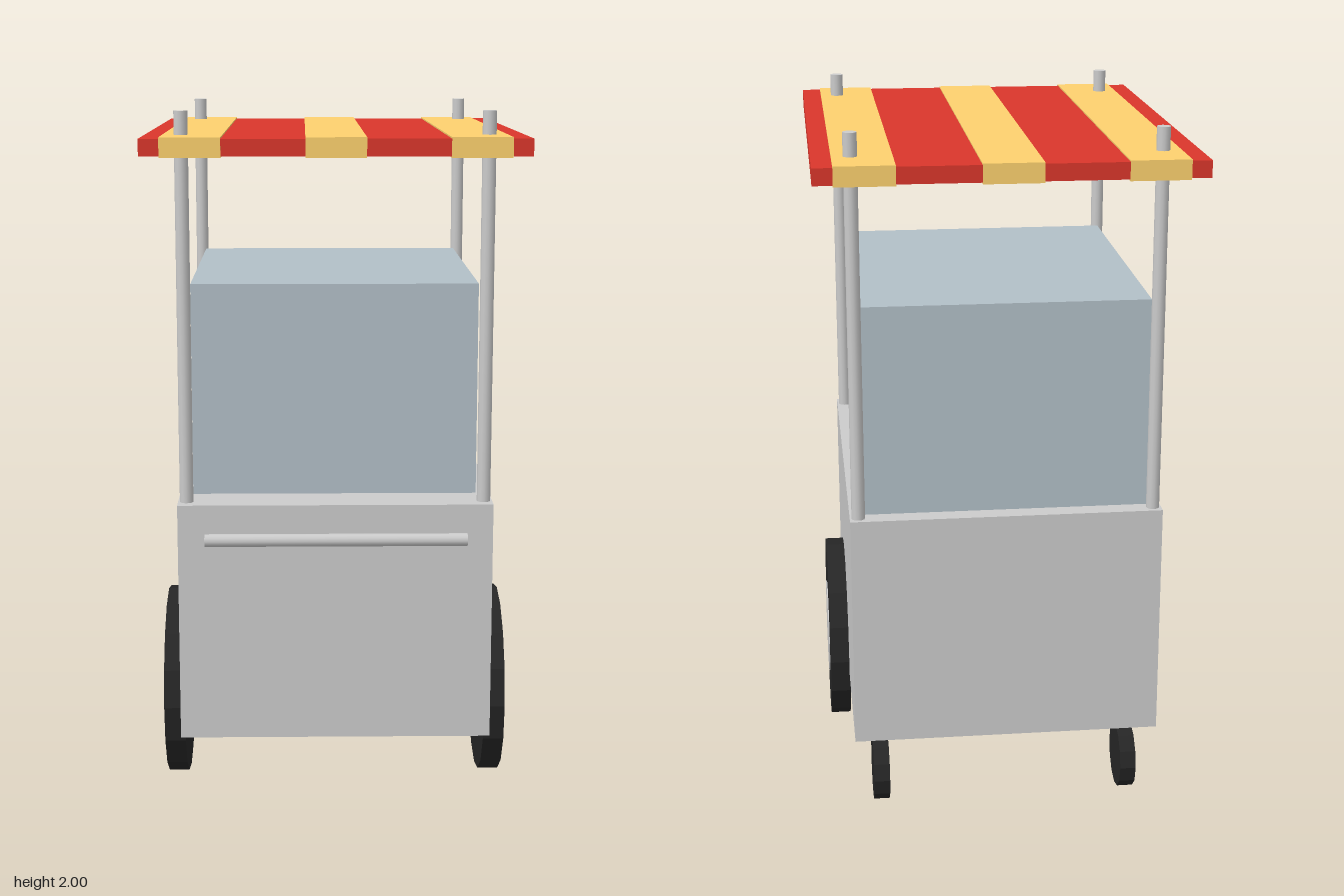
import * as THREE from 'three';

const mat = (color) => new THREE.MeshStandardMaterial({ color, flatShading: true });

export function createModel() {
  const cart = new THREE.Group();
  cart.name = 'foodCart';
  const grey = mat(0xcccccc), glass = mat(0xb2bfc7), rubber = mat(0x262626);
  const red = mat(0xda362b), yellow = mat(0xfdd16e);
  const smoothGrey = new THREE.MeshStandardMaterial({ color: 0xcccccc });

  const add = (name, geometry, material, x, y, z) => {
    const mesh = new THREE.Mesh(geometry, material);
    mesh.name = name;
    mesh.position.set(x, y, z);
    cart.add(mesh);
    return mesh;
  };
  const box = (name, w, h, d, material, x, y, z) =>
    add(name, new THREE.BoxGeometry(w, h, d), material, x, y, z);
  // Cylinder lying along x
  const disc = (name, r, width, sides, material, x, y, z) =>
    add(name, new THREE.CylinderGeometry(r, r, width, sides).rotateZ(Math.PI / 2), material, x, y, z);

  // Body and display case
  box('body', 0.88, 0.68, 1.12, grey, 0, 0.58, 0);
  box('displayCase', 0.805, 0.6, 0.925, glass, 0, 1.22, -0.043);

  // Push handle
  disc('pushHandle', 0.018, 0.72, 12, smoothGrey, 0, 0.845, 0.654);

  // Wheels, casters and canopy posts, mirrored left and right
  for (const [side, s] of [['left', 1], ['right', -1]]) {
    disc(side + 'Tyre', 0.28, 0.06, 16, rubber, s * 0.466, 0.283, 0.157);
    disc(side + 'Hub', 0.145, 0.07, 12, grey, s * 0.464, 0.283, 0.157);
    disc(side + 'Caster', 0.096, 0.046, 12, rubber, s * 0.364, 0.096, -0.445);
    for (const [end, z] of [['Front', 0.513], ['Back', -0.53]]) {
      add(side + end + 'Post', new THREE.CylinderGeometry(0.019, 0.019, 1.08, 12), smoothGrey, s * 0.416, 1.46, z);
    }
  }

  // Canopy with raised stripes
  box('canopy', 1.04, 0.046, 1.322, red, 0, 1.909, -0.006);
  for (const x of [-0.385, 0, 0.385]) {
    box('canopyStripe', 0.162, 0.054, 1.328, yellow, x, 1.909, -0.006);
  }
  return cart;
}
